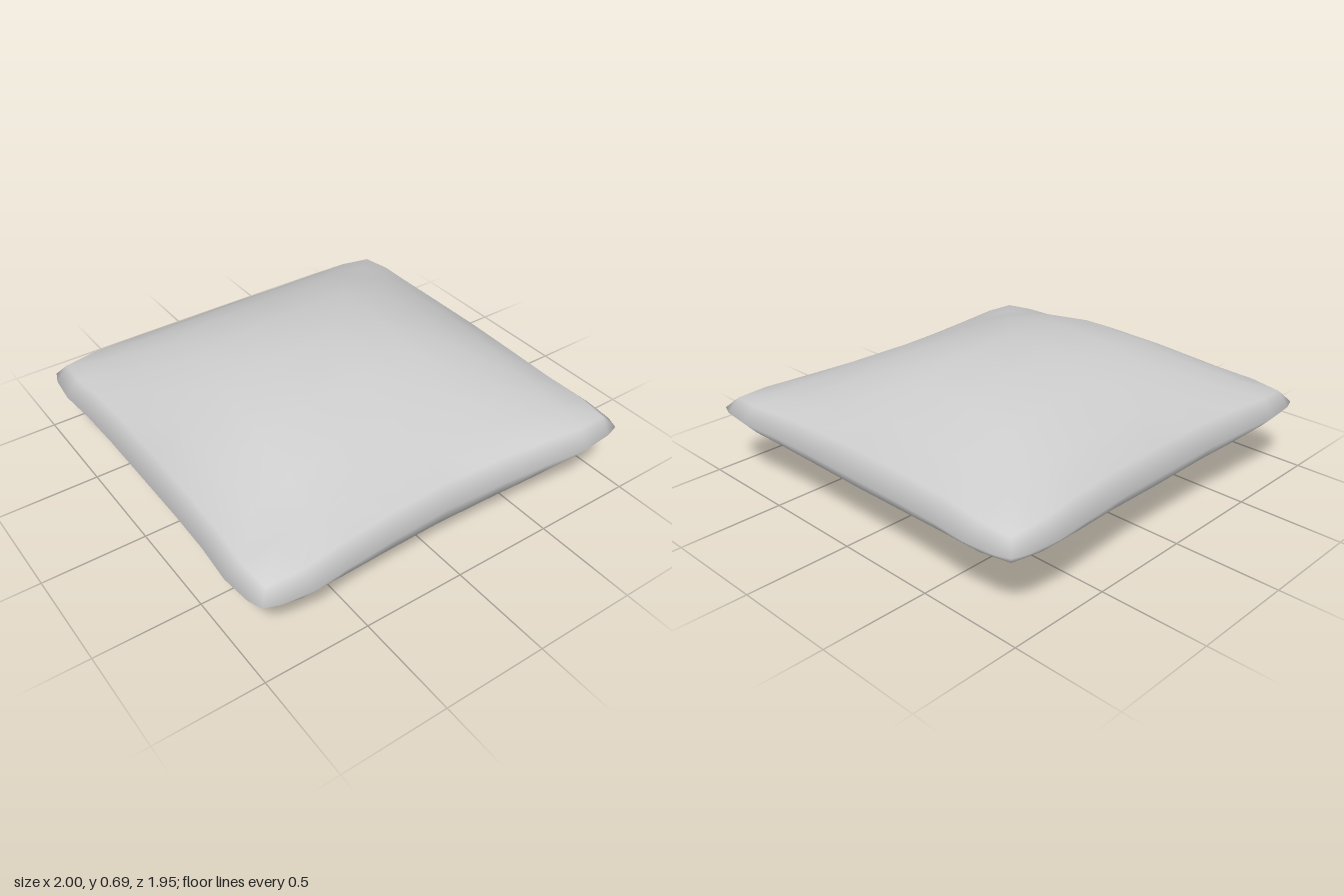
import * as THREE from 'three';
import { mergeVertices } from 'three/addons/utils/BufferGeometryUtils.js';

// Grid stations from the middle of the cushion to its rim
const STATIONS = [0, 0.31, 0.56, 0.77, 0.93, 1];
const N = STATIONS.length - 1;

// Outline half-extents at each station: bowed edges with clipped corners
const SIDE = [0.98, 0.98, 0.985, 1, 0.985, 0.96];
const BACK = [0.95, 0.95, 0.965, 0.98, 0.965, 0.94];
const FRONT = [0.9, 0.915, 0.94, 0.97, 0.96, 0.94];

// Swell of the stuffing; the front slopes differently from the other edges
const TOP = [1, 0.95, 0.77, 0.45, 0.13, 0];
const TOP_FRONT = [1, 0.84, 0.56, 0.3, 0.09, 0];
const BOTTOM = [1, 0.93, 0.77, 0.48, 0.15, 0];
const BOTTOM_FRONT = [1, 0.95, 0.8, 0.53, 0.3, 0];

// Point for grid step i (across) and j (back to front), both -N..N
function cushionPoint(i, j, upper) {
  const a = Math.abs(i), b = Math.abs(j), front = j > 0;
  const x = Math.sign(i) * STATIONS[a] * SIDE[b];
  const z = Math.sign(j) * STATIONS[b] * (front ? FRONT : BACK)[a];
  const across = (upper ? TOP : BOTTOM)[a];
  const along = (upper ? (front ? TOP_FRONT : TOP) : (front ? BOTTOM_FRONT : BOTTOM))[b];
  const onRim = a === N || b === N;
  const swell = onRim ? 0 : 0.05 + (upper ? 0.3 : 0.29) * across * along;
  // The front seam sags slightly in the middle
  const sag = front ? 0.03 * STATIONS[b] ** 4 * (1 - STATIONS[a] ** 2) : 0;
  return [x, 0.34 - sag + (upper ? swell : -swell), z];
}

function cushionGeometry() {
  const positions = [], index = [], row = 2 * N + 1;
  for (const upper of [true, false]) {
    const start = positions.length / 3;
    for (let i = -N; i <= N; i++) {
      for (let j = -N; j <= N; j++) positions.push(...cushionPoint(i, j, upper));
    }
    for (let i = 0; i < 2 * N; i++) {
      for (let j = 0; j < 2 * N; j++) {
        const a = start + i * row + j, b = a + 1, d = a + row, c = d + 1;
        // Mirror the diagonals so that they run out to the corners
        const outward = (i < N) === (j < N);
        const tris = outward ? [[a, b, c], [a, c, d]] : [[a, b, d], [b, c, d]];
        for (const [p, q, r] of tris) index.push(...(upper ? [p, q, r] : [p, r, q]));
      }
    }
  }
  const geometry = new THREE.BufferGeometry();
  geometry.setAttribute('position', new THREE.Float32BufferAttribute(positions, 3));
  geometry.setIndex(index);
  // Join the two halves along the seam
  const joined = mergeVertices(geometry, 1e-4);
  joined.computeVertexNormals();
  return joined;
}

export function createModel() {
  const group = new THREE.Group();
  group.name = 'pillow';
  const cushion = new THREE.Mesh(
    cushionGeometry(),
    new THREE.MeshStandardMaterial({ color: 0xcccccc })
  );
  cushion.name = 'cushion';
  group.add(cushion);
  return group;
}
